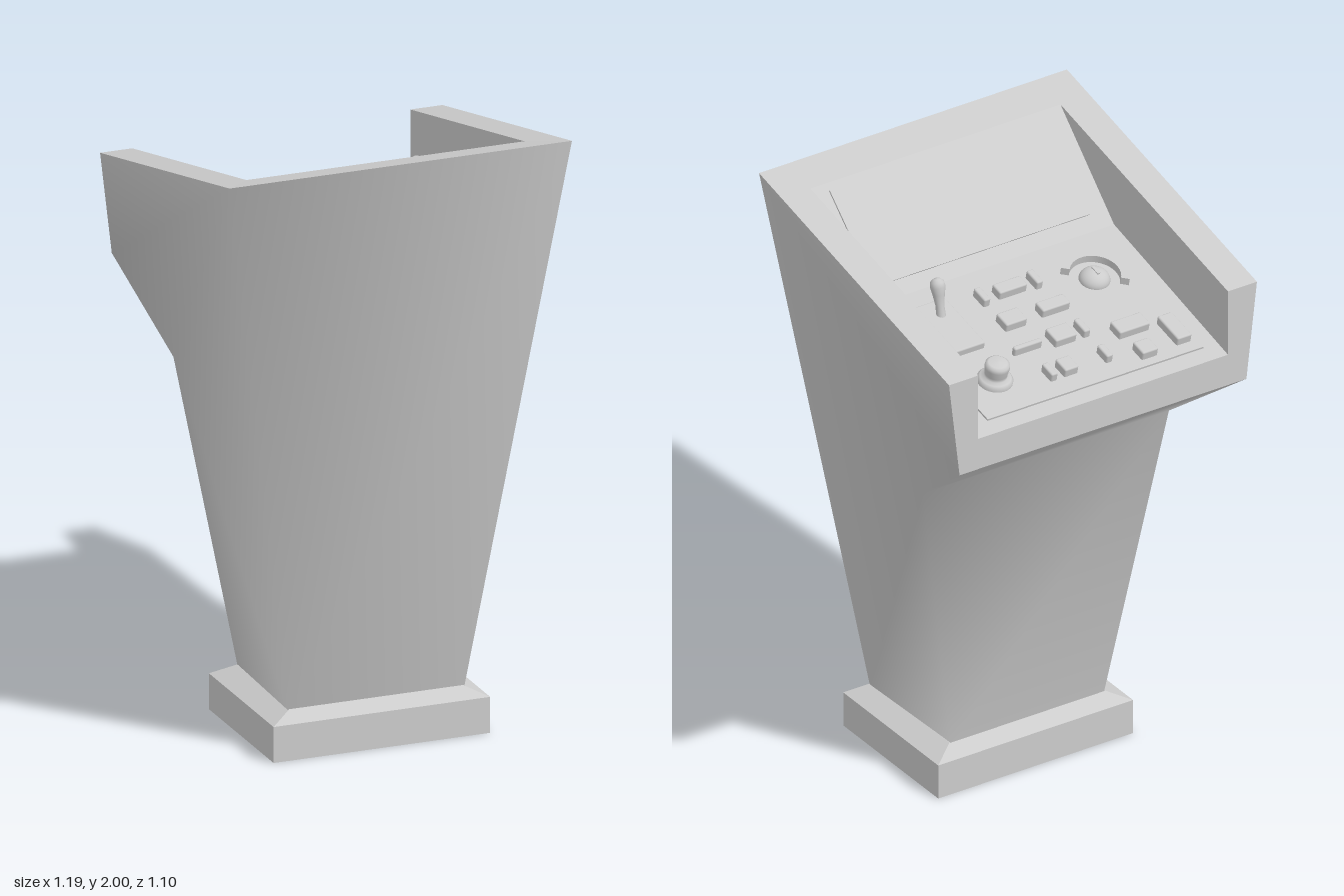
import * as THREE from 'three';
import { RoundedBoxGeometry } from 'three/addons/geometries/RoundedBoxGeometry.js';

const grey = new THREE.MeshStandardMaterial({ color: 0xcccccc });

function add(parent, name, geometry, x = 0, y = 0, z = 0) {
  const mesh = new THREE.Mesh(geometry, grey);
  mesh.name = name;
  mesh.position.set(x, y, z);
  parent.add(mesh);
  return mesh;
}

function buffer(points, index) {
  const g = new THREE.BufferGeometry();
  // the cabinet leans very slightly sideways from back to front
  const flat = points.flatMap(([x, y, z]) => [x - 0.018 * z, y, z]);
  g.setAttribute('position', new THREE.Float32BufferAttribute(flat, 3));
  if (index) g.setIndex(index);
  g.computeVertexNormals();
  return g;
}

const flip = ([x, y, z]) => [-x, y, z];

// Smooth outer skin: front, two sides, sloping underside and back
function cabinetGeometry() {
  const right = [
    [0.3, 0.14, 0.34], [0.585, 2, 0.55], [0.585, 1.76, -0.55],
    [0.545, 1.42, -0.55], [0.467, 1.17, -0.22], [0.29, 0.14, -0.11],
  ];
  const n = right.length;
  const index = [];
  for (const [a, b, c] of [[0, 4, 1], [1, 3, 2], [1, 4, 3], [0, 5, 4]]) {
    index.push(a, b, c, a + n, c + n, b + n);
  }
  for (const [i, j] of [[0, 1], [3, 4], [4, 5]]) {
    index.push(i + n, i, j, i + n, j, j + n);
  }
  return buffer([...right, ...right.map(flip)], index);
}

// Flat faces of the rim, the inner walls, the floor and the open back
function cockpitGeometry() {
  const strip = [
    [0.585, 2, 0.55], [0.475, 1.971, 0.42], [0.475, 1.685, 0.11],
    [0.475, 1.53, -0.55], [0.545, 1.42, -0.55],
  ];
  const [outFront, inFront, crease, inBack, outBack] = strip;
  const outTop = [0.585, 1.76, -0.55];
  const inTop = [0.475, 1.76, -0.55];
  const faces = [];
  for (const f of [
    [outFront, outTop, inTop, inFront],
    [outTop, outBack, inBack, inTop],
    [inBack, crease, inFront, inTop],
  ]) faces.push(f, f.map(flip).reverse());
  for (let i = 0; i < strip.length - 1; i++) {
    faces.push([flip(strip[i]), strip[i], strip[i + 1], flip(strip[i + 1])]);
  }
  return buffer(faces.flatMap(([a, b, c, d]) => [a, b, c, a, c, d]));
}

// Plinth: rectangular block with a bevelled top
function plinthGeometry() {
  const rings = [[0, 0.37, 0.275], [0.12, 0.37, 0.275], [0.155, 0.295, 0.225]];
  const pts = rings.map(([y, w, d]) =>
    [[-w, y, d], [w, y, d], [w, y, -d], [-w, y, -d]].map(([x, h, z]) => [x, h, z + 0.115]));
  const faces = [[...pts[0]].reverse(), pts[2]];
  for (let r = 0; r < 2; r++) {
    for (let i = 0; i < 4; i++) {
      const j = (i + 1) % 4;
      faces.push([pts[r][i], pts[r][j], pts[r + 1][j], pts[r + 1][i]]);
    }
  }
  return buffer(faces.flatMap(([a, b, c, d]) => [a, b, c, a, c, d]));
}

function lathe(profile, segments = 28) {
  return new THREE.LatheGeometry(profile.map(([r, y]) => new THREE.Vector2(r, y)), segments);
}

// Sloping control panel; local y points away from the panel
function controlPanel() {
  const panel = new THREE.Group();
  panel.name = 'controlPanel';
  const slope = Math.atan(0.235);
  const k = 1 / Math.cos(slope);
  panel.position.set(0, 1.66, 0);
  panel.rotation.x = -slope;
  add(panel, 'panelPlate', new THREE.BoxGeometry(0.82, 0.012, 0.565 * k), 0, 0, -0.21 * k);

  // x, z, width, depth of each button
  const buttons = [
    [-0.362, -0.395, 0.055, 0.12], [-0.225, -0.435, 0.06, 0.06], [-0.24, -0.325, 0.115, 0.06],
    [-0.095, -0.4, 0.025, 0.06], [0.05, -0.4, 0.052, 0.06], [0.115, -0.4, 0.025, 0.06],
    [-0.095, -0.27, 0.025, 0.065], [-0.015, -0.27, 0.08, 0.065], [0.115, -0.273, 0.105, 0.018],
    [-0.068, -0.145, 0.105, 0.047], [0.088, -0.145, 0.08, 0.062],
    [-0.085, -0.018, 0.025, 0.065], [0.01, -0.018, 0.105, 0.047], [0.115, -0.018, 0.025, 0.065],
  ];
  for (const [x, z, w, d] of buttons) {
    add(panel, 'button', new RoundedBoxGeometry(w, 0.05, d, 2, 0.006), x, 0.01, z * k);
  }

  // Stepped round knob
  add(panel, 'knob', lathe([
    [0.058, 0], [0.058, 0.015], [0.05, 0.024], [0.037, 0.028], [0.037, 0.04],
    [0.041, 0.065], [0.039, 0.077], [0.03, 0.083], [0, 0.085],
  ]), 0.287, 0, -0.35 * k);

  // Domed dial with a curved guard around it
  const dome = new THREE.SphereGeometry(0.051, 28, 10, 0, Math.PI * 2, 0, Math.PI / 2);
  dome.scale(1, 0.75, 1);
  add(panel, 'dial', dome, -0.27, 0.005, -0.085 * k);
  add(panel, 'dialPointer', new THREE.BoxGeometry(0.01, 0.012, 0.035), -0.27, 0.04, -0.085 * k);
  const from = 0.66, to = 3.84;
  const arc = new THREE.Shape();
  arc.absarc(0, 0, 0.11, from, to, false);
  arc.absarc(0, 0, 0.082, to, from, true);
  const guard = new THREE.ExtrudeGeometry(arc, { depth: 0.03, bevelEnabled: false, curveSegments: 24 });
  guard.rotateX(Math.PI / 2);
  add(panel, 'dialGuard', guard, -0.27, 0.032, -0.085 * k);

  // Lever on its plate
  add(panel, 'leverPlate', new RoundedBoxGeometry(0.115, 0.05, 0.23 * k, 2, 0.006), 0.287, 0.005, -0.093 * k);
  const lever = add(panel, 'lever', lathe([
    [0.016, 0], [0.014, 0.04], [0.02, 0.08], [0.025, 0.105], [0.022, 0.122], [0.012, 0.131], [0, 0.133],
  ], 20), 0.287, 0.02, -0.045 * k);
  lever.rotation.x = 0.42;
  return panel;
}

export function createModel() {
  const model = new THREE.Group();
  model.name = 'controlConsole';
  add(model, 'plinth', plinthGeometry());
  add(model, 'cabinet', cabinetGeometry());
  add(model, 'cockpit', cockpitGeometry());
  model.add(controlPanel());

  // Display leaning against the front wall
  const screen = add(model, 'screen', new THREE.BoxGeometry(0.82, 0.012, 0.34), 0, 1.837, 0.275);
  screen.rotation.x = -Math.atan(0.923);
  return model;
}
